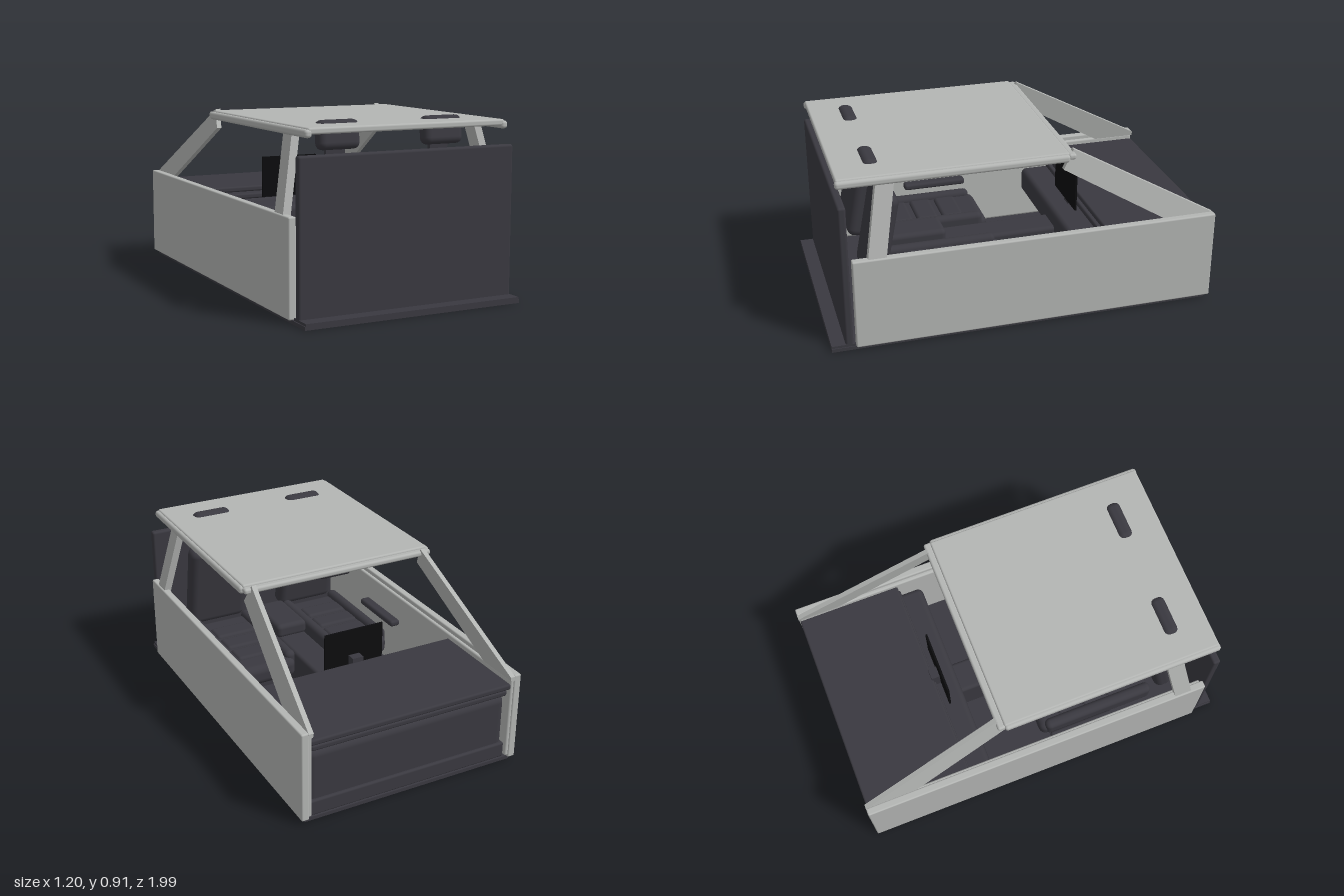
import * as THREE from 'three';
import { RoundedBoxGeometry } from 'three/addons/geometries/RoundedBoxGeometry.js';

const mat = (name, color) => {
  const m = new THREE.MeshStandardMaterial({ color });
  m.name = name;
  return m;
};

export function createModel() {
  const body = mat('body grey', 0xb4b6b4);
  const trim = mat('dark trim', 0x3a3940);
  const black = mat('screen black', 0x0c0c0e);
  const model = new THREE.Group();
  model.name = 'openCabin';

  const add = (name, geo, material, parent = model) => {
    const m = new THREE.Mesh(geo, material);
    m.name = name;
    parent.add(m);
    return m;
  };
  // box given by its limits, with rounded edges when r > 0
  const box = (name, [x0, x1], [y0, y1], [z0, z1], material, r = 0, parent = model) => {
    const s = [x1 - x0, y1 - y0, z1 - z0];
    const geo = r > 0 ? new RoundedBoxGeometry(...s, 3, r) : new THREE.BoxGeometry(...s);
    const m = add(name, geo, material, parent);
    m.position.set((x0 + x1) / 2, (y0 + y1) / 2, (z0 + z1) / 2);
    return m;
  };
  // side-view outline of [z, y] points, extruded across x and leaned by xAt(y)
  const pillar = (name, outline, width, xAt) => {
    const shape = new THREE.Shape(outline.map(([z, y]) => new THREE.Vector2(-z, y)));
    const geo = new THREE.ExtrudeGeometry(shape, { depth: width, bevelEnabled: false });
    geo.translate(0, 0, -width / 2).rotateY(Math.PI / 2);
    const p = geo.attributes.position;
    for (let i = 0; i < p.count; i++) p.setX(i, p.getX(i) + xAt(p.getY(i)));
    geo.computeVertexNormals();
    return add(name, geo, body);
  };

  // floor and rear bulkhead
  box('floor', [-0.58, 0.58], [0, 0.018], [-0.97, 1], trim);
  box('floorLip', [-0.575, 0.575], [0.018, 0.03], [0.88, 1], trim);
  box('bulkhead', [-0.575, 0.575], [0.01, 0.77], [0.89, 0.93], trim, 0.012);

  // roof with front cross bar
  box('roof', [-0.525, 0.525], [0.862, 0.893], [-0.22, 0.925], body, 0.01);
  box('roofCrossBar', [-0.53, 0.53], [0.855, 0.885], [-0.255, -0.215], body, 0.012);

  for (const s of [-1, 1]) {
    const span = (a, b) => (s > 0 ? [a, b] : [-b, -a]);
    // side walls
    box('sidePanel', span(0.562, 0.602), [0.02, 0.493], [-0.99, 0.88], body, 0.008);
    box('sideLiner', span(0.545, 0.57), [0.03, 0.47], [-0.985, 0.87], body, 0.01);
    box('doorArmrest', span(0.49, 0.55), [0.3, 0.335], [0.05, 0.4], trim, 0.014);
    box('roofRail', span(0.505, 0.542), [0.847, 0.886], [-0.22, 0.93], body, 0.015);

    // windscreen and rear pillars
    pillar('windscreenPillar',
      [[-0.25, 0.897], [-0.99, 0.487], [-0.99, 0.465], [-0.76, 0.465], [-0.195, 0.8]],
      0.025, (y) => s * (0.485 + (0.87 - y) * 0.175));
    pillar('rearPillar',
      [[0.805, 0.47], [0.735, 0.86], [0.645, 0.86], [0.715, 0.47]],
      0.04, (y) => s * (0.495 + (0.86 - y) * 0.21));

    // seat
    const seat = new THREE.Group();
    seat.name = 'seat';
    seat.position.x = s * 0.283;
    model.add(seat);
    box('seatBase', [-0.14, 0.14], [0.03, 0.18], [0.08, 0.62], trim, 0.02, seat);
    box('seatCushion', [-0.17, 0.17], [0.16, 0.27], [0.02, 0.66], trim, 0.04, seat);
    for (const e of [-1, 1])
      box('seatBolster', [e * 0.15 - 0.03, e * 0.15 + 0.03], [0.18, 0.3], [0.05, 0.66], trim, 0.028, seat);
    for (const z of [0.14, 0.28, 0.42])
      box('seatRib', [-0.12, 0.12], [0.24, 0.285], [z, z + 0.12], trim, 0.02, seat);
    const back = box('seatBack', [-0.17, 0.17], [0.24, 0.735], [0.65, 0.75], trim, 0.04, seat);
    back.rotation.x = -0.19;
    const rest = box('headrest', [-0.108, 0.108], [0.768, 0.908], [0.695, 0.775], trim, 0.032, seat);
    rest.rotation.x = -0.12;
    box('headrestPost', [-0.05, 0.05], [0.68, 0.8], [0.7, 0.72], trim, 0, seat);
  }

  // dashboard: overhanging top plate, lip and lower body
  box('dashTop', [-0.55, 0.55], [0.415, 0.445], [-0.985, -0.43], trim, 0.01);
  box('dashLip', [-0.54, 0.54], [0.375, 0.405], [-0.97, -0.42], trim, 0.01);
  box('dashBody', [-0.55, 0.55], [0.06, 0.365], [-0.95, -0.5], trim, 0.04);
  box('dashShelf', [-0.545, 0.545], [0.2, 0.34], [-0.56, -0.3], trim, 0.03);
  box('dashSill', [-0.55, 0.55], [0.018, 0.1], [-0.965, -0.6], trim, 0.01);

  // centre screen and console
  box('screen', [-0.165, 0.165], [0.385, 0.61], [-0.395, -0.385], black);
  box('screenMount', [-0.03, 0.03], [0.36, 0.47], [-0.44, -0.394], trim);
  box('console', [-0.085, 0.085], [0.018, 0.26], [-0.4, 0.62], trim, 0.02);
  box('consoleArmrest', [-0.09, 0.09], [0.25, 0.33], [0.3, 0.62], trim, 0.025);

  // rear-view mirror
  box('mirror', [-0.088, 0.088], [0.818, 0.864], [-0.205, -0.145], trim, 0.02);
  box('mirrorStem', [-0.015, 0.015], [0.85, 0.875], [-0.2, -0.17], trim);

  return model;
}
